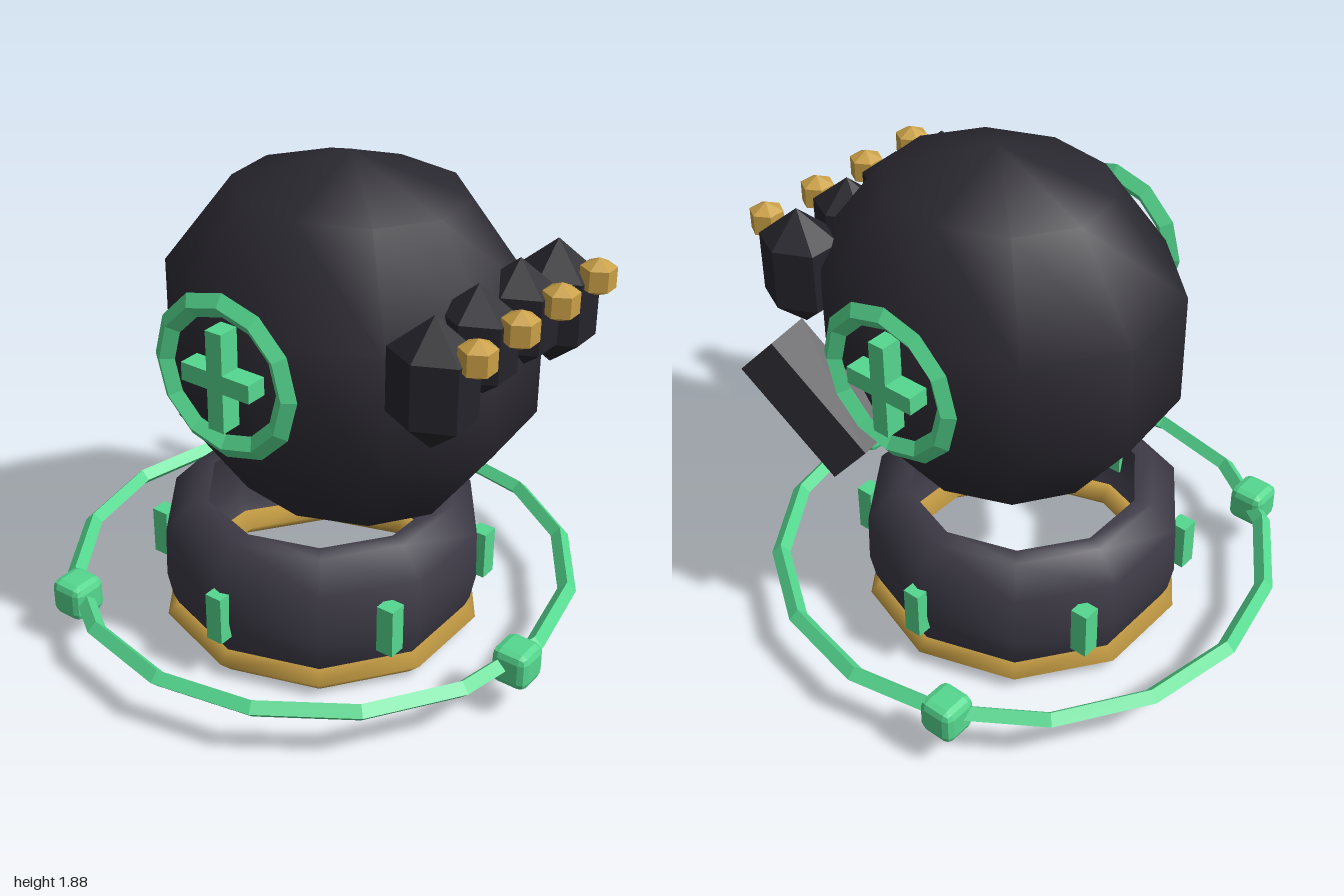
import * as THREE from 'three';
import { RoundedBoxGeometry } from 'three/addons/geometries/RoundedBoxGeometry.js';

const mat = (color, opts = {}) => new THREE.MeshStandardMaterial({ color, ...opts });

export function createModel() {
  const model = new THREE.Group();
  const palmMat = mat(0x2b2931);
  const cuffMat = mat(0x3c3945, { side: THREE.DoubleSide });
  const fingerMat = mat(0x25242b, { flatShading: true });
  const goldMat = mat(0xc9a046, { flatShading: true });
  const trimMat = mat(0xc9a046);
  const greenMat = mat(0x55d88f, { flatShading: true });
  const baseZ = -0.02;

  const add = (name, geometry, material, x, y, z, parent = model) => {
    const mesh = new THREE.Mesh(geometry, material);
    mesh.name = name;
    mesh.position.set(x, y, z);
    parent.add(mesh);
    return mesh;
  };

  // Six-sided prism with pointed ends, corners on the x axis
  const crystal = (r, body, tip) => new THREE.LatheGeometry(
    [[0, -tip], [r, -body], [r, body], [0, tip]].map(p => new THREE.Vector2(...p)), 6, Math.PI / 6);

  // Fist body: coarse, smooth ellipsoid
  const palm = add('palm', new THREE.SphereGeometry(1, 10, 5), palmMat, 0, 1.19, 0.1);
  palm.scale.set(0.62, 0.69, 0.725);
  palm.rotation.y = 0.11;

  // Open cuff with an inward lip, and its trim
  const cuffProfile = [[0.555, 0.06], [0.59, 0.14], [0.61, 0.24], [0.605, 0.43], [0.51, 0.53], [0.44, 0.53]];
  add('cuff', new THREE.LatheGeometry(cuffProfile.map(p => new THREE.Vector2(...p)), 10, Math.PI / 2),
    cuffMat, 0, 0, baseZ);
  add('cuffTrim', new THREE.TorusGeometry(0.56, 0.055, 4, 10).rotateX(Math.PI / 2), trimMat, 0, 0.054, baseZ);

  // Six blocks set into the cuff
  for (let i = 0; i < 6; i++) {
    const a = i * Math.PI / 3;
    add('cuffBlock', new THREE.BoxGeometry(0.068, 0.19, 0.068), greenMat,
      0.61 * Math.cos(a), 0.275, baseZ + 0.53 / 0.866 * Math.sin(a));
  }

  // Floating ring with three beads
  add('orbitRing', new THREE.TorusGeometry(0.945, 0.035, 4, 16).rotateX(Math.PI / 2), greenMat, 0, 0.205, baseZ);
  for (const [x, z] of [[-0.755, -0.59], [0.87, -0.39], [-0.12, 0.925]])
    add('ringBead', new RoundedBoxGeometry(0.142, 0.142, 0.142, 1, 0.03), greenMat, x, 0.205, z);

  // Round emblems with a cross on both sides
  for (const side of [-1, 1]) {
    const emblem = new THREE.Group();
    emblem.name = side > 0 ? 'leftEmblem' : 'rightEmblem';
    emblem.position.set(side * 0.62, 1.265, 0.05);
    add('emblemRing', new THREE.TorusGeometry(0.258, 0.043, 4, 12).rotateY(Math.PI / 2), greenMat, 0, 0, 0, emblem)
      .scale.x = 0.72;
    add('crossUpright', new THREE.BoxGeometry(0.08, 0.36, 0.066), greenMat, side * 0.01, 0, 0, emblem);
    add('crossBar', new THREE.BoxGeometry(0.08, 0.066, 0.285), greenMat, side * 0.01, 0, 0, emblem);
    model.add(emblem);
  }

  // Four curled fingers, each with a knuckle stud
  for (const x of [-0.38, -0.128, 0.128, 0.38]) {
    const outer = Math.abs(x) > 0.2;
    const finger = add('finger', outer ? crystal(0.13, 0.115, 0.235) : crystal(0.118, 0.1, 0.205), fingerMat,
      x, outer ? 1.35 : 1.395, 0.7);
    finger.scale.z = 1.2;
    add('knuckleStud', crystal(0.063, 0.038, 0.07), goldMat, x, 1.483, 0.858);
  }

  // Thumb: hexagonal prism leaning back and down along the left side
  const tip = new THREE.Vector3(0.665, 1.225, 0.565);
  const root = new THREE.Vector3(0.6, 0.89, 0.215);
  const axis = tip.clone().sub(root);
  const mid = tip.clone().add(root).multiplyScalar(0.5);
  const thumb = add('thumb', new THREE.CylinderGeometry(0.155, 0.155, axis.length(), 6).rotateY(Math.PI / 6),
    fingerMat, mid.x, mid.y, mid.z);
  thumb.quaternion.setFromUnitVectors(new THREE.Vector3(0, 1, 0), axis.normalize());

  return model;
}
